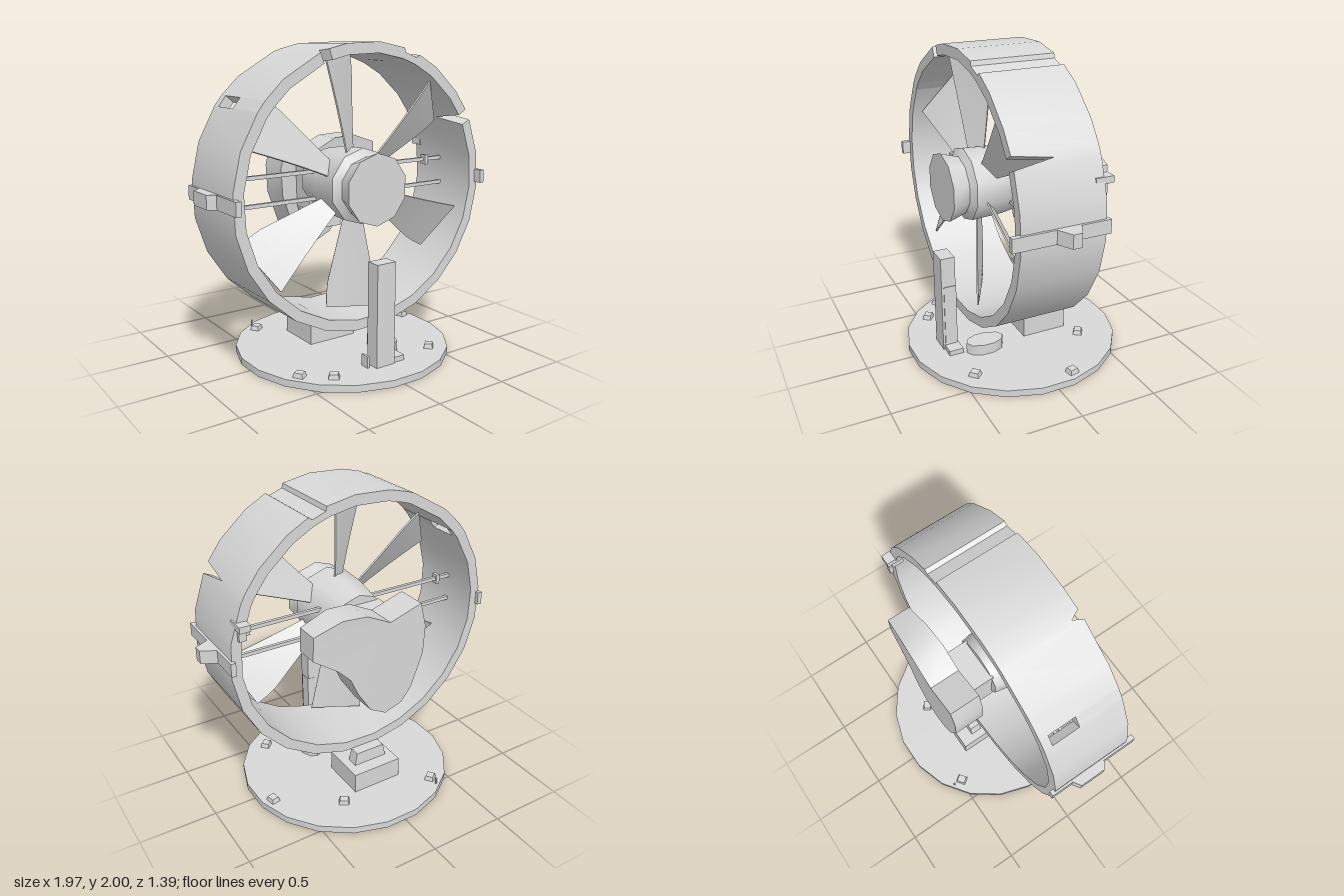
import * as THREE from 'three';
import { toCreasedNormals } from 'three/addons/utils/BufferGeometryUtils.js';

const grey = new THREE.MeshStandardMaterial({ color: 0xd8d8d8 });
grey.name = 'light grey';
const rad = THREE.MathUtils.degToRad, lerp = THREE.MathUtils.lerp;

export function createModel() {
  const root = new THREE.Group();
  root.name = 'ductedFan';

  const add = (name, geo, x = 0, y = 0, z = 0) => {
    const m = new THREE.Mesh(geo, grey);
    m.name = name;
    m.position.set(x, y, z);
    root.add(m);
    return m;
  };
  // Box given by its limits on each axis
  const box = (name, x0, x1, y0, y1, z0, z1) => add(name,
    new THREE.BoxGeometry(x1 - x0, y1 - y0, z1 - z0), (x0 + x1) / 2, (y0 + y1) / 2, (z0 + z1) / 2);
  // Box whose end in direction +y is narrowed by kx, kz
  const taperBox = (w, h, d, kx, kz) => {
    const g = new THREE.BoxGeometry(w, h, d).toNonIndexed(), p = g.attributes.position;
    for (let i = 0; i < p.count; i++)
      if (p.getY(i) > 0) p.setXYZ(i, p.getX(i) * kx, p.getY(i), p.getZ(i) * kz);
    g.computeVertexNormals();
    return g;
  };
  // Flat outline given depth toward +z
  const extrude = (points, depth) => new THREE.ExtrudeGeometry(
    new THREE.Shape(points.map(([x, y]) => new THREE.Vector2(x, y))), { depth, bevelEnabled: false });

  // Duct wall: quad cross-sections [degrees, radius offset, front z] swept round the axis
  const CX = -0.022, CY = 1.125;
  const wall = (name, sections, zBack) => {
    const pos = [], idx = [];
    for (const [deg, dr, zf] of sections) {
      const c = Math.cos(rad(deg)), s = Math.sin(rad(deg));
      const at = (r, z) => pos.push(CX + c * (0.907 + r), CY + s * (0.877 + r), z);
      at(dr, zf); at(dr, zBack); at(-0.066, zBack); at(-0.066, zf);
    }
    const n = sections.length;
    for (let i = 0; i < n - 1; i++)
      for (let k = 0; k < 4; k++) {
        const a = i * 4 + k, b = i * 4 + (k + 1) % 4, c = a + 4, d = b + 4;
        idx.push(a, b, c, b, d, c);
      }
    const e = (n - 1) * 4;
    idx.push(0, 2, 1, 0, 3, 2, e, e + 1, e + 2, e, e + 2, e + 3);
    const g = new THREE.BufferGeometry();
    g.setAttribute('position', new THREE.Float32BufferAttribute(pos, 3));
    g.setIndex(idx);
    add(name, toCreasedNormals(g, rad(32)));
  };
  const F = 0.35, B = -0.175;
  const sections = [];
  for (let d = 145; d <= 500; d += 15) {
    if (d === 385) sections.push([385.5, 0, F], [388, 0, 0.11], [390.5, 0, F]); // front gash
    else if (d === 430)                                                       // groove on top
      sections.push([425, 0, F], [426, -0.025, F], [432, -0.025, F], [433, 0, F]);
    else if (d === 475) sections.push([468, 0, F], [470, 0, 0.29], [472, 0, F]); // small nick
    else sections.push([d, 0, F]);
  }
  sections.push([500, 0, F]);
  wall('duct', sections, B);
  // Strips before and behind the slot in the duct
  wall('ductSlotFront', [[140, 0, F], [145, 0, F]], 0.06);
  wall('ductSlotBack', [[140, 0, -0.12], [145, 0, -0.12]], B);

  // Hub body with a narrower flared nose cap
  const HX = -0.025, HY = 1.14;
  const profile = [[0, -0.1], [0.19, -0.1], [0.225, 0.1], [0.235, 0.3], [0.185, 0.33], [0.19, 0.35], [0.22, 0.445], [0, 0.445]]
    .map(([r, z]) => new THREE.Vector2(r, z));
  const hub = new THREE.LatheGeometry(profile, 10);
  hub.rotateX(Math.PI / 2);
  add('hub', toCreasedNormals(hub, rad(40)), HX, HY, 0);

  // Twisted blades, narrow at the hub, with a fuller clockwise edge
  const bladeGeo = (width) => {
    const g = new THREE.BoxGeometry(1, 1, 0.01, 2, 8, 1), p = g.attributes.position;
    for (let i = 0; i < p.count; i++) {
      const t = p.getY(i) + 0.5, side = p.getX(i) * 2, z = p.getZ(i);
      const x = side * lerp(0.05, width / 2, side > 0 ? Math.min(1, t * 1.25) : t ** 1.15);
      const a = rad(lerp(36, 28, t));
      p.setXYZ(i, x * Math.cos(a) + z * Math.sin(a), lerp(0.15, 0.79, t), z * Math.cos(a) - x * Math.sin(a));
    }
    return toCreasedNormals(g, rad(35));
  };
  for (const [deg, width] of [[98.5, 0.31], [37.5, 0.38], [-27, 0.36], [-90, 0.34], [-147, 0.36], [148.5, 0.37]])
    add('blade', bladeGeo(width), HX, HY, 0.2).rotation.z = rad(deg - 90);

  // Support rods and their clips
  for (const y of [1.22, 1.05]) box('supportRod', -0.87, 0.83, y - 0.012, y + 0.012, 0.05, 0.072);
  for (const x of [-0.75, 0.67]) box('rodClip', x - 0.013, x + 0.013, 1.185, 1.25, 0.04, 0.085);

  // Side rails and lugs on the duct
  box('leftRail', 0.86, 0.892, 1.085, 1.17, -0.2, 0.405);
  box('rightRail', -0.938, -0.905, 1.085, 1.17, -0.2, 0.405);
  add('leftLug', taperBox(0.085, 0.1, 0.16, 1, 0.35), 0.932, 1.128, 0.065).rotation.z = -Math.PI / 2;
  add('rightLug', taperBox(0.085, 0.07, 0.26, 1, 0.65), -0.95, 1.128, 0.06).rotation.z = Math.PI / 2;
  box('rearCatch', 0.77, 0.84, 1.36, 1.4, -0.235, -0.12);
  box('rearCatchFoot', 0.785, 0.83, 1.29, 1.36, -0.2, -0.12);

  // Rear motor housing, thinner toward the nose and the bottom
  const housing = extrude([[0.49, 1.17], [0.485, 1.32], [0.3, 1.38], [0.14, 1.37], [-0.02, 1.29], [-0.24, 1.36],
    [-0.28, 1.2], [-0.27, 1.02], [-0.19, 0.8], [-0.12, 0.71], [0, 0.67], [0.11, 0.73], [0.2, 0.87], [0.25, 0.98],
    [0.33, 1.06]], 0.2);
  const hp = housing.attributes.position;
  for (let i = 0; i < hp.count; i++) {
    const nose = Math.max(0, hp.getX(i) - 0.2) * 0.1, low = Math.max(0, 0.82 - hp.getY(i)) * 0.22;
    hp.setZ(i, hp.getZ(i) > 0.1 ? 0.2 - nose - low : nose * 0.7);
  }
  add('motorHousing', toCreasedNormals(housing, rad(30)), 0, 0, -0.44);
  add('housingNeck', extrude([[-0.17, 1.27], [-0.16, 0.95], [-0.12, 0.81], [0.08, 0.81], [0.12, 0.95], [0.12, 1.27]], 0.16),
    0, 0, -0.25);
  box('housingPin', 0.29, 0.31, 1.09, 1.19, -0.27, -0.23);

  // Base disc
  const disc = new THREE.CylinderGeometry(0.702, 0.702, 0.045, 20);
  disc.rotateY(Math.PI / 20);
  add('base', disc, 0.027, 0.0225, 0);

  // Rear mount
  box('mountBlock', -0.19, 0.155, 0.04, 0.18, -0.345, -0.04);
  add('mountStep', taperBox(0.24, 0.09, 0.08, 0.85, 0.9), -0.02, 0.22, -0.215);

  // Front post with lower side piece and foot
  box('post', -0.065, 0.072, 0.04, 0.7, 0.41, 0.505);
  box('postSide', 0.02, 0.077, 0.04, 0.5, 0.408, 0.49);
  box('postFoot', -0.06, 0.16, 0.04, 0.078, 0.4, 0.495);
  box('postTab', -0.11, -0.095, 0.04, 0.12, 0.41, 0.47);

  // Low rounded unit on the base
  const unit = new THREE.CylinderGeometry(0.075, 0.075, 0.075, 10);
  unit.scale(1, 1, 1.7);
  add('baseUnit', toCreasedNormals(unit, rad(40)), 0.17, 0.0775, 0.255);

  // Clips around the base
  for (const [x, z] of [[-0.51, 0.33], [-0.35, 0.46], [-0.35, -0.49], [0.42, 0.43], [0.65, -0.13], [0.27, -0.39]])
    add('baseClip', taperBox(0.07, 0.035, 0.06, 0.75, 0.8), x, 0.057, z).rotation.y = Math.atan2(x, z);
  box('basePin', -0.355, -0.345, 0.04, 0.09, -0.56, -0.55);

  return root;
}
